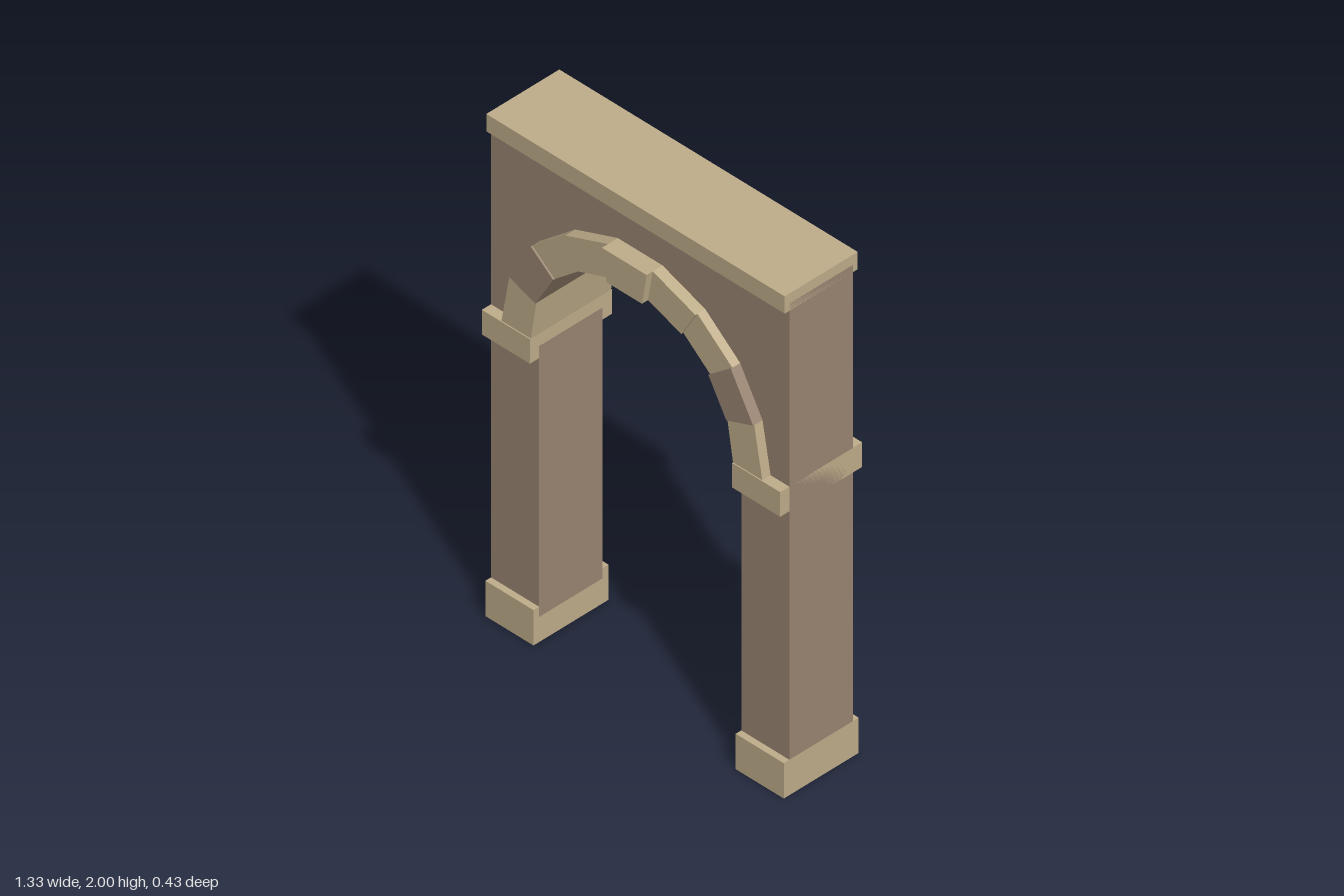
import * as THREE from 'three';

const tan = new THREE.MeshStandardMaterial({ name: 'pale sandstone', color: 0xc0ae8b });
const brown = new THREE.MeshStandardMaterial({ name: 'brown stone', color: 0x9b8673 });

const HALF_W = 0.667; // half the overall width
const INNER = 0.452;  // inner face of the piers

// Arch joints from springing to keystone (right half): outer and inner ends
const outer = [[0.583, 1.23], [0.547, 1.43], [0.447, 1.603], [0.291, 1.733], [0.1, 1.803]];
const inner = [[0.452, 1.23], [0.427, 1.386], [0.347, 1.524], [0.228, 1.623], [0.079, 1.677]];
// Each voussoir's half depth and colour, from the springing upwards
const stones = [[0.179, tan], [0.184, brown], [0.177, tan], [0.186, tan]];

export function createModel() {
  const group = new THREE.Group();
  group.name = 'stoneArch';

  const add = (name, geometry, material) => {
    const mesh = new THREE.Mesh(geometry, material);
    mesh.name = name;
    group.add(mesh);
    return mesh;
  };
  const box = (name, x0, x1, y0, y1, halfZ) => add(
    name, new THREE.BoxGeometry(x1 - x0, y1 - y0, halfZ * 2), tan
  ).position.set((x0 + x1) / 2, (y0 + y1) / 2, 0);
  // Prism with a front outline, centred on z = 0
  const prism = (name, points, halfZ, material) => {
    const shape = new THREE.Shape(points.map(([x, y]) => new THREE.Vector2(x, y)));
    const geometry = new THREE.ExtrudeGeometry(shape, { depth: halfZ * 2, bevelEnabled: false });
    add(name, geometry.translate(0, 0, -halfZ), material);
  };
  const mirror = ([x, y]) => [-x, y];

  // Wall and piers in one outline, cut out behind the arch stones
  const rightEdge = [[INNER, 0.1], [INNER, 1.18], [0.583, 1.18], ...outer];
  prism('wall', [
    [-HALF_W, 1.96], [-HALF_W, 0.1],
    ...rightEdge.map(mirror),
    ...[...rightEdge].reverse(),
    [HALF_W, 0.1], [HALF_W, 1.96],
  ], 0.142, brown);

  // Top slab
  box('coping', -HALF_W, HALF_W, 1.931, 2, 0.163);

  // Pier bases, imposts and arch stones on each side
  for (const side of [1, -1]) {
    const label = side > 0 ? 'left' : 'right';
    const x0 = side > 0 ? INNER : -HALF_W;
    const x1 = side > 0 ? HALF_W : -INNER;
    box(label + 'Base', x0, x1, 0, 0.141, 0.167);
    box(label + 'Impost', x0, x1, 1.132, 1.23, 0.183);

    stones.forEach(([halfZ, material], i) => {
      const corners = [inner[i], outer[i], outer[i + 1], inner[i + 1]];
      prism(label + 'Voussoir' + (i + 1), side > 0 ? corners : corners.map(mirror), halfZ, material);
    });
  }

  // Projecting keystone
  const [o, n] = [outer[4], inner[4]];
  prism('keystone', [mirror(n), n, o, mirror(o)], 0.213, tan);

  return group;
}
